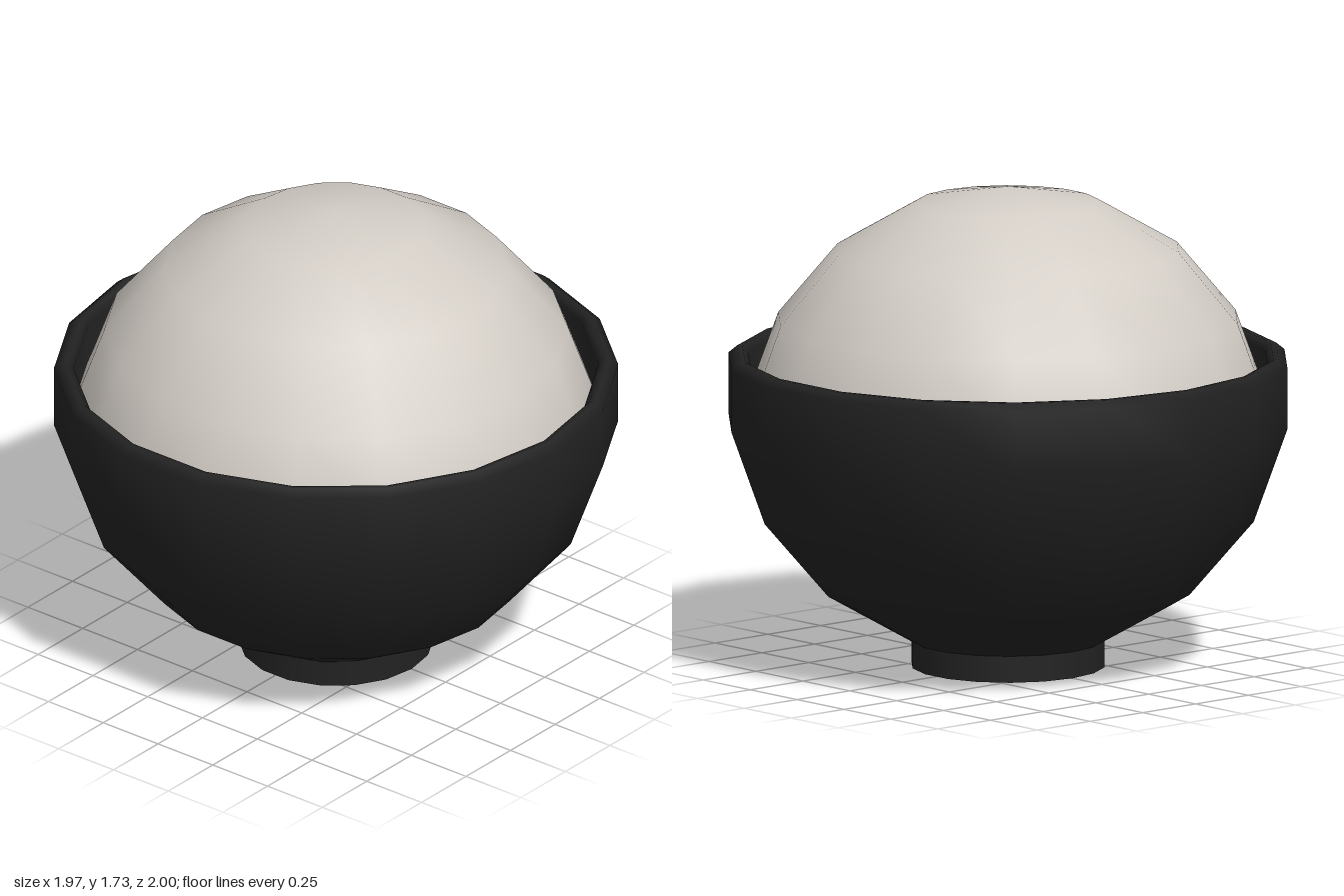
import * as THREE from 'three';

const SIDES = 18;

export function createModel() {
  const model = new THREE.Group();
  const black = new THREE.MeshStandardMaterial({ name: 'blackGlaze', color: 0x222222 });
  const white = new THREE.MeshStandardMaterial({ name: 'riceWhite', color: 0xd3cdc6 });

  const add = (name, geometry, material) => {
    const mesh = new THREE.Mesh(geometry, material);
    mesh.name = name;
    model.add(mesh);
    return mesh;
  };

  // Bowl: outer wall upward, over the bevelled rim, then down the inner wall
  const profile = [
    [0.33, 0.09], [0.345, 0.095], [0.65, 0.27], [0.88, 0.54], [1, 0.875], [1, 1.1],
    [0.97, 1.125], [0.95, 1.125], [0.93, 1.1], [0.93, 0.9],
    [0.82, 0.6], [0.6, 0.34], [0.3, 0.18], [0, 0.17],
  ].map(([r, y]) => new THREE.Vector2(r, y));
  add('bowl', new THREE.LatheGeometry(profile, SIDES), black);

  // Foot ring with a flat base
  add('foot', new THREE.CylinderGeometry(0.345, 0.345, 0.1, SIDES), black).position.y = 0.05;

  // Rice mound: cap of a faceted sphere, aligned with the bowl's corners
  const dome = new THREE.SphereGeometry(0.95, SIDES, 4, 0, Math.PI * 2, 0, Math.PI * 4 / 9);
  dome.rotateY(Math.PI / 2);
  add('riceMound', dome, white).position.y = 0.775;

  return model;
}
